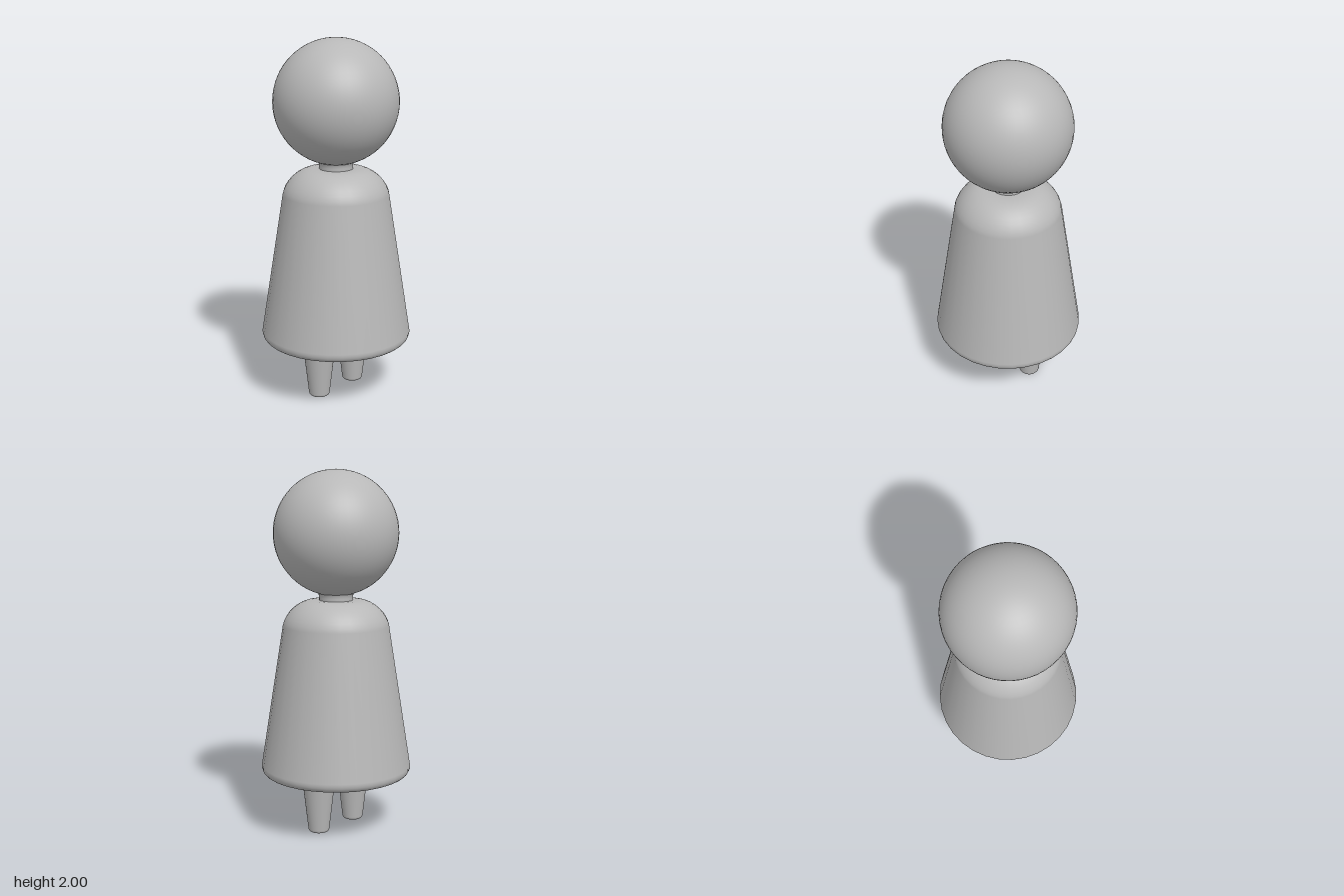
import * as THREE from 'three';

const grey = new THREE.MeshStandardMaterial({ color: 0xb8b8b8 });
grey.name = 'plain grey';

// Smooth solid of revolution from a 2D path running bottom to top
function turned(name, path, sides, divisions = 6) {
  const mesh = new THREE.Mesh(new THREE.LatheGeometry(path.getPoints(divisions), sides), grey);
  mesh.name = name;
  return mesh;
}

export function createModel() {
  const group = new THREE.Group();
  group.name = 'pegFigure';

  // Head
  const head = new THREE.Mesh(new THREE.SphereGeometry(0.343, 48, 32), grey);
  head.name = 'head';
  head.position.y = 1.657;
  group.add(head);

  // Neck, slightly flared under the head
  const neckPath = new THREE.Path();
  neckPath.moveTo(0.093, 1.27);
  neckPath.lineTo(0.093, 1.305);
  neckPath.quadraticCurveTo(0.094, 1.325, 0.103, 1.335);
  group.add(turned('neck', neckPath, 32));

  // Tapered gown with rounded hem and shoulders
  const bodyPath = new THREE.Path();
  bodyPath.moveTo(0, 0.31);
  bodyPath.lineTo(0.34, 0.31);
  bodyPath.lineTo(0.365, 0.31);
  bodyPath.bezierCurveTo(0.4, 0.31, 0.422, 0.328, 0.418, 0.365);
  bodyPath.lineTo(0.294, 1.15);
  bodyPath.bezierCurveTo(0.285, 1.21, 0.215, 1.288, 0.135, 1.291);
  bodyPath.lineTo(0.11, 1.291);
  bodyPath.lineTo(0, 1.291);
  group.add(turned('body', bodyPath, 32, 8));

  // Two tapered legs, one in front of the other
  for (const [name, z] of [['frontLeg', 0.147], ['backLeg', -0.147]]) {
    const legPath = new THREE.Path();
    legPath.moveTo(0, 0);
    legPath.lineTo(0.04, 0);
    legPath.quadraticCurveTo(0.057, 0, 0.059, 0.018);
    legPath.lineTo(0.09, 0.285);
    legPath.quadraticCurveTo(0.091, 0.303, 0.08, 0.308);
    legPath.lineTo(0.07, 0.315);
    const leg = turned(name, legPath, 32);
    leg.position.z = z;
    group.add(leg);
  }

  return group;
}
